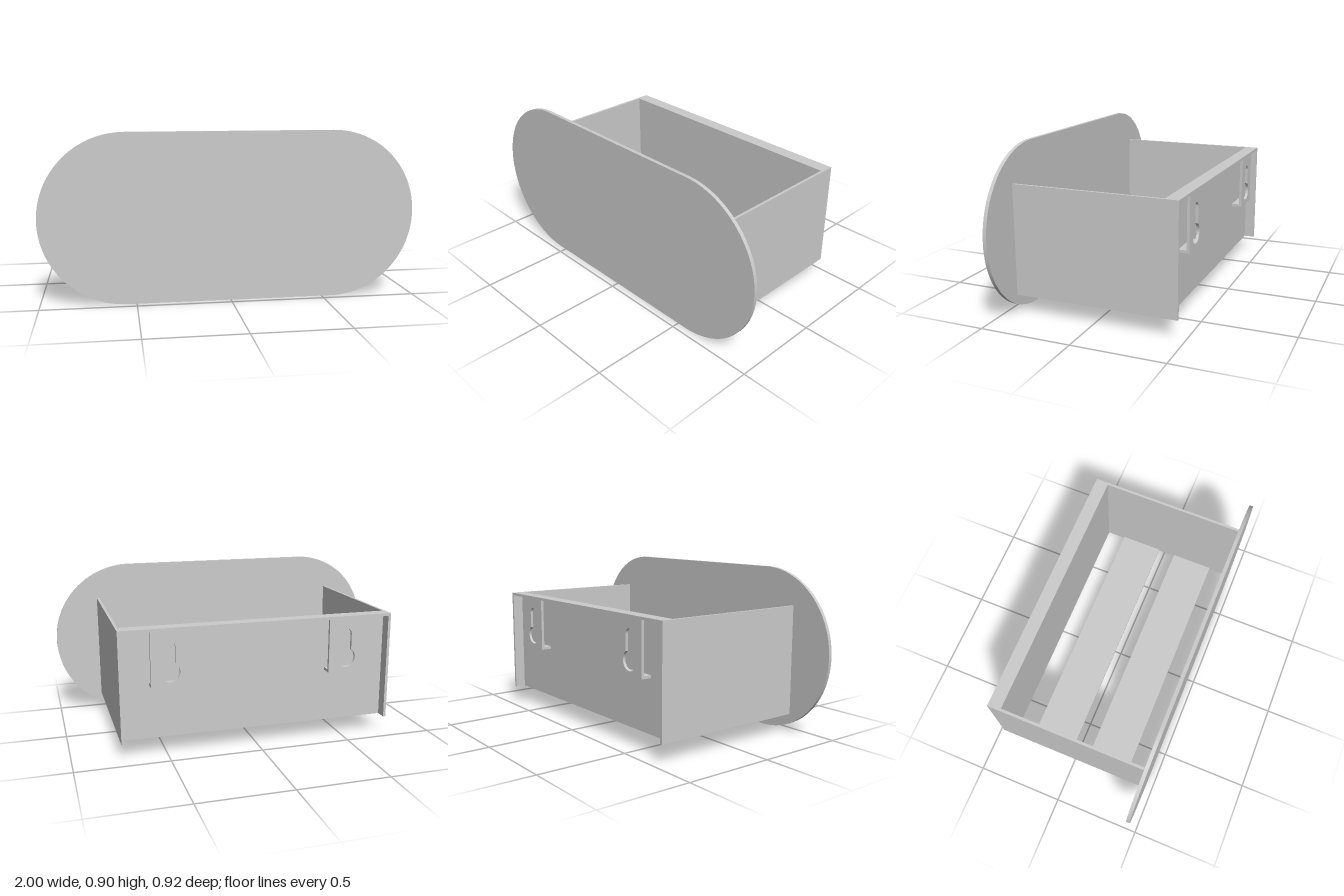
import * as THREE from 'three';

const T = 0.015; // sheet thickness
const material = new THREE.MeshStandardMaterial({ color: 0xcccccc });

// Box given by its minimum and maximum corners
function slab(name, [x0, y0, z0], [x1, y1, z1]) {
  const mesh = new THREE.Mesh(new THREE.BoxGeometry(x1 - x0, y1 - y0, z1 - z0), material);
  mesh.position.set((x0 + x1) / 2, (y0 + y1) / 2, (z0 + z1) / 2);
  mesh.name = name;
  return mesh;
}

function plate(name, shape, depth, z) {
  const geometry = new THREE.ExtrudeGeometry(shape, { depth, bevelEnabled: false, curveSegments: 40 });
  const mesh = new THREE.Mesh(geometry, material);
  mesh.position.z = z;
  mesh.name = name;
  return mesh;
}

// Hanging bracket: plate with a keyhole, and a lip back to the rear panel
function hangingBracket(x) {
  const group = new THREE.Group();
  group.name = 'hangingBracket';
  const w = 0.1, bottom = 0.39, top = 0.685;
  const shape = new THREE.Shape();
  shape.moveTo(-w, bottom);
  shape.lineTo(w, bottom);
  shape.lineTo(w, top);
  shape.lineTo(-w, top);
  shape.closePath();

  const R = 0.053, r = 0.03, a = Math.acos(r / R);
  const keyhole = new THREE.Path();
  keyhole.absarc(0, 0.6, r, 0, Math.PI, false);
  keyhole.absarc(0, 0.468, R, Math.PI - a, Math.PI * 2 + a, false);
  keyhole.closePath();
  shape.holes.push(keyhole);

  group.add(
    plate('keyholePlate', shape, T, -0.46),
    slab('bracketLip', [-w, bottom, -0.46 + T], [w, bottom + T, -0.4])
  );
  group.position.x = x;
  return group;
}

export function createModel() {
  const model = new THREE.Group();
  model.name = 'wallShelf';

  // Front panel with round ends
  const front = new THREE.Shape();
  front.absarc(0.55, 0.45, 0.45, -Math.PI / 2, Math.PI / 2, false);
  front.absarc(-0.55, 0.45, 0.45, Math.PI / 2, Math.PI * 1.5, false);
  front.closePath();
  model.add(plate('frontPanel', front, 0.02, 0.44));

  // Side panels and brackets, mirrored
  const inner = 0.75 - T;
  for (const s of [-1, 1]) {
    const c = s * (0.75 - T / 2);
    model.add(slab('sidePanel', [c - T / 2, 0.1, -0.46], [c + T / 2, 0.7, 0.44]));
    model.add(hangingBracket(s * 0.488));
  }

  // Recessed rear panel and the strip above it
  model.add(slab('rearPanel', [-inner, 0.1, -0.4], [inner, 0.7 - T, -0.4 + T]));
  model.add(slab('topStrip', [-inner, 0.7 - T, -0.46], [inner, 0.7, -0.4 + T]));

  // Floor slats
  for (const z of [-0.275, 0.08]) {
    model.add(slab('floorSlat', [-inner, 0.1, z], [inner, 0.1 + T, z + 0.25]));
  }
  return model;
}
